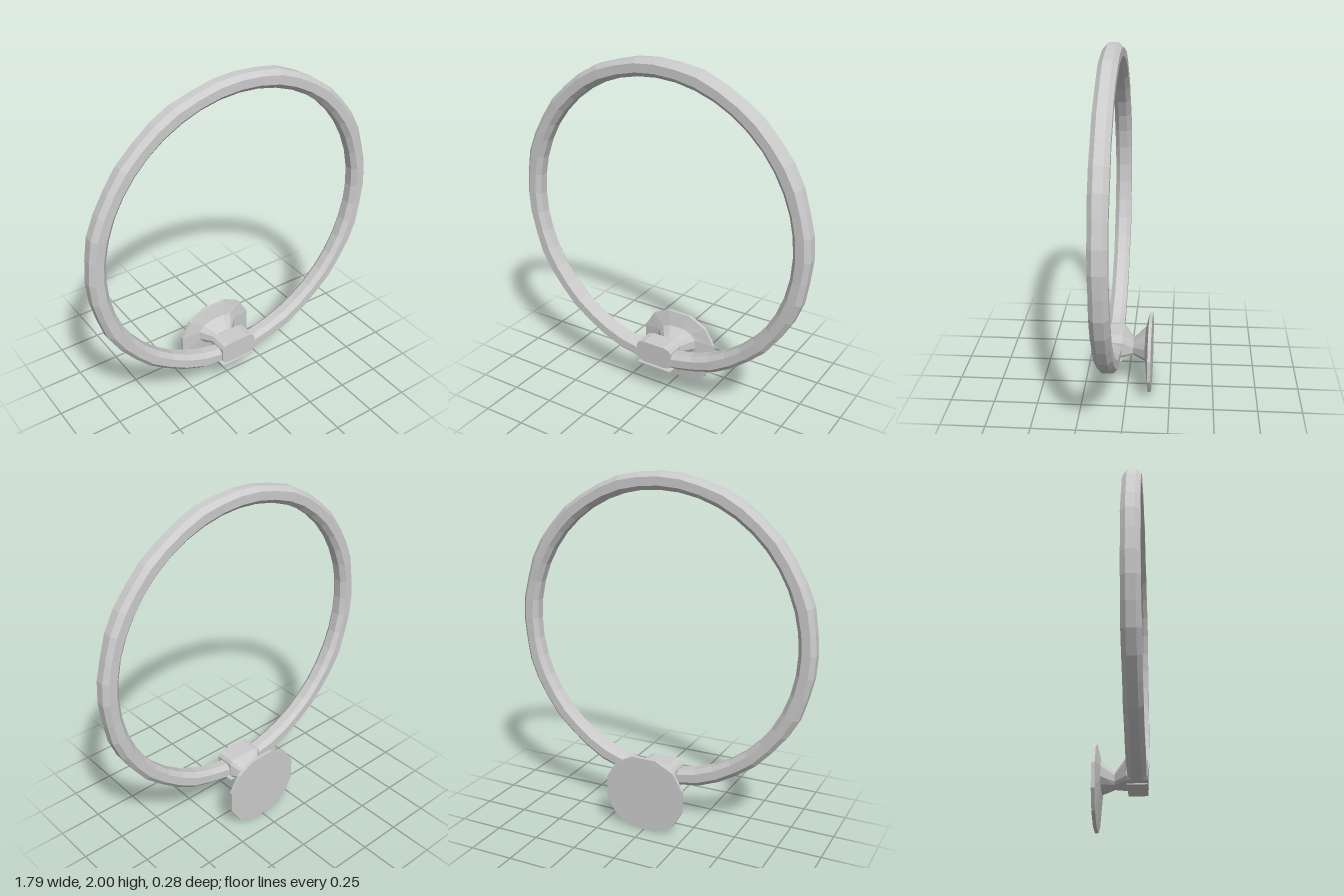
import * as THREE from 'three';

const material = new THREE.MeshStandardMaterial({ color: 0xcccccc, flatShading: true });

// Rounded polygon in a unit box; higher power gives a squarer outline
function outline(sides, power) {
  const pts = [];
  const shape = (v) => Math.sign(v) * Math.pow(Math.abs(v), 2 / power);
  const max = shape(Math.cos(Math.PI / sides));
  for (let i = 0; i < sides; i++) {
    const a = ((i + 0.5) / sides) * Math.PI * 2;
    pts.push([shape(Math.cos(a)) / max, shape(Math.sin(a)) / max]);
  }
  return pts;
}

// Skin a list of equal-sized sections, either as a closed loop or with end caps
function loft(name, sections, closed) {
  const n = sections[0].length;
  const count = sections.length;
  const index = [];
  for (let s = 0; s < (closed ? count : count - 1); s++) {
    for (let i = 0; i < n; i++) {
      const j = (i + 1) % n;
      const next = ((s + 1) % count) * n;
      const a = s * n + i, b = s * n + j, c = next + j, d = next + i;
      index.push(a, b, c, a, c, d);
    }
  }
  if (!closed) {
    const last = (count - 1) * n;
    for (let i = 1; i < n - 1; i++) {
      index.push(0, i + 1, i, last, last + i, last + i + 1);
    }
  }
  const geometry = new THREE.BufferGeometry();
  geometry.setAttribute('position', new THREE.Float32BufferAttribute(sections.flat(2), 3));
  geometry.setIndex(index);
  const flat = geometry.toNonIndexed();
  flat.computeVertexNormals();
  const mesh = new THREE.Mesh(flat, material);
  mesh.name = name;
  return mesh;
}

// Section in the xy plane: [z, centre x, half width, bottom, top, power]
function section([z, cx, hx, y0, y1, power]) {
  return outline(12, power).map(([u, v]) => [cx + u * hx, (y0 + y1) / 2 + (v * (y1 - y0)) / 2, z]);
}

export function createModel() {
  const group = new THREE.Group();
  group.name = 'towelRing';

  // Slightly uneven hoop with a rounded square section
  const segments = 44;
  const profile = outline(8, 2.5);
  const hoop = [];
  for (let s = 0; s < segments; s++) {
    const t = (s / segments) * Math.PI * 2;
    const wobble = 0.003 * Math.sin(s * 2.3) + 0.002 * Math.sin(s * 5.1);
    hoop.push(profile.map(([u, v]) => {
      const r = 0.847 + wobble * 0.5 + v * (0.048 + wobble * 0.5);
      return [r * Math.cos(t), 1.104 + r * Math.sin(t), 0.081 + u * (0.049 + wobble * 0.3)];
    }));
  }
  group.add(loft('hoop', hoop, true));

  // Wall plate, flaring into the narrow neck
  group.add(loft('wallPlate', [
    [-0.142, 0, 0.235, 0, 0.435, 2.2],
    [-0.124, 0, 0.235, 0, 0.435, 2.2],
    [-0.104, 0, 0.125, 0.19, 0.35, 2.4],
    [-0.035, 0, 0.055, 0.212, 0.29, 3],
  ].map(section), false));

  // Holder block that widens from the neck and grips the hoop
  group.add(loft('holder', [
    [-0.035, 0, 0.055, 0.212, 0.29, 3],
    [0.025, -0.01, 0.113, 0.217, 0.35, 5],
    [0.135, -0.01, 0.113, 0.217, 0.35, 5],
  ].map(section), false));

  // Thin strip beneath the holder
  const strip = new THREE.Mesh(new THREE.BoxGeometry(0.22, 0.006, 0.105), material);
  strip.name = 'lowerStrip';
  strip.position.set(-0.01, 0.202, 0.082);
  group.add(strip);

  return group;
}
